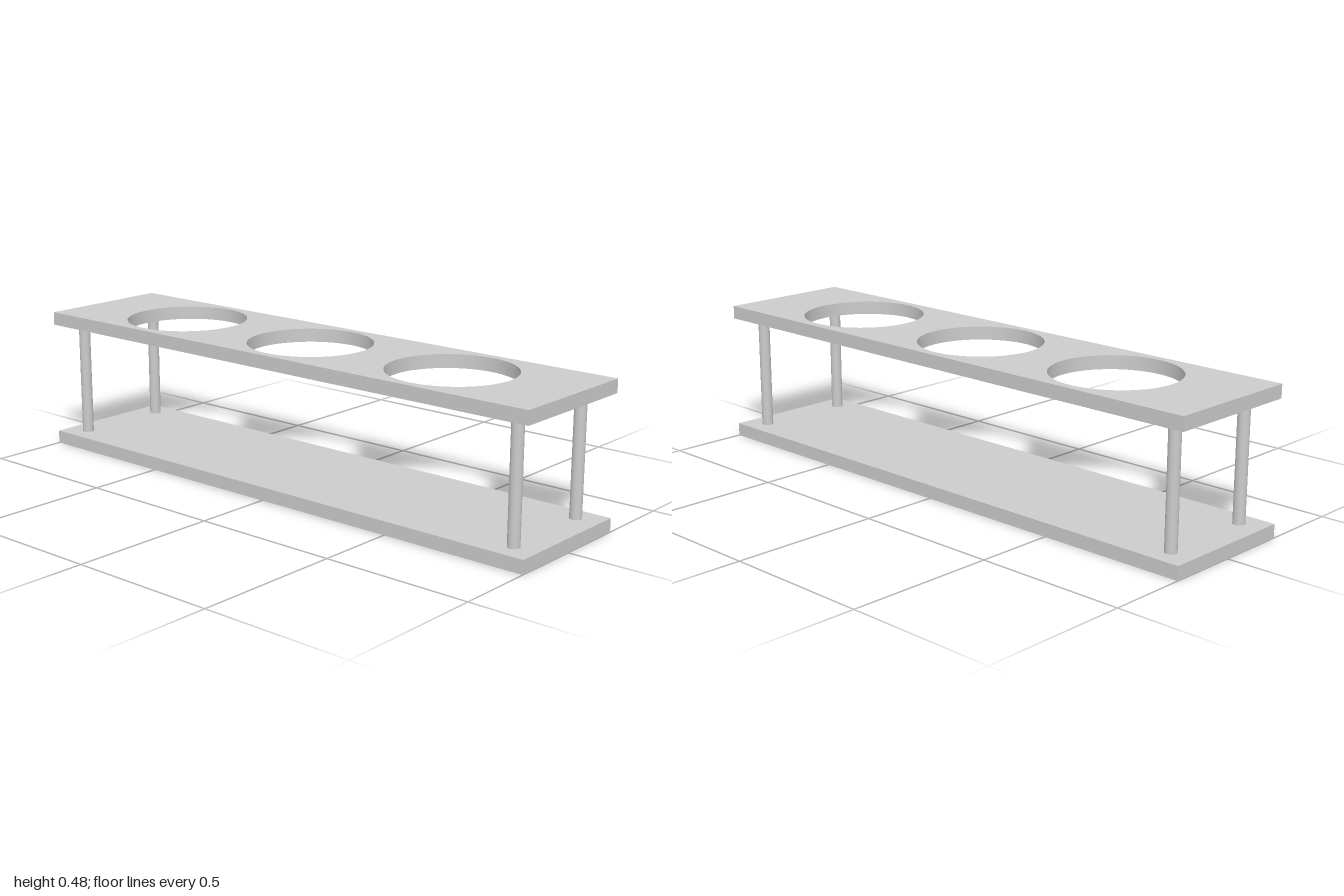
import * as THREE from 'three';
import { toCreasedNormals } from 'three/addons/utils/BufferGeometryUtils.js';

const LENGTH = 2, DEPTH = 0.473, THICK = 0.045, HEIGHT = 0.481;
const HOLE_RADIUS = 0.207, HOLE_SPACING = 0.567;
const POST_RADIUS = 0.0195, POST_X = 0.92, POST_Z = 0.166;

export function createModel() {
  const group = new THREE.Group();
  const material = new THREE.MeshStandardMaterial({ color: 0xcccccc });
  const add = (name, geometry, x, y, z) => {
    const mesh = new THREE.Mesh(geometry, material);
    mesh.name = name;
    mesh.position.set(x, y, z);
    group.add(mesh);
  };

  // Solid base plate
  add('basePlate', new THREE.BoxGeometry(LENGTH, THICK, DEPTH), 0, THICK / 2, 0);

  // Top plate with three round holes
  const outline = new THREE.Shape([
    new THREE.Vector2(-LENGTH / 2, -DEPTH / 2),
    new THREE.Vector2(LENGTH / 2, -DEPTH / 2),
    new THREE.Vector2(LENGTH / 2, DEPTH / 2),
    new THREE.Vector2(-LENGTH / 2, DEPTH / 2),
  ]);
  for (const i of [-1, 0, 1]) {
    outline.holes.push(new THREE.Path().absarc(i * HOLE_SPACING, 0, HOLE_RADIUS, 0, Math.PI * 2, true));
  }
  const plate = new THREE.ExtrudeGeometry(outline, { depth: THICK, bevelEnabled: false, curveSegments: 64 });
  plate.rotateX(-Math.PI / 2);
  add('topPlate', toCreasedNormals(plate, Math.PI / 6), 0, HEIGHT - THICK, 0);

  // Four round corner posts between the plates
  const postHeight = HEIGHT - 2 * THICK;
  const post = new THREE.CylinderGeometry(POST_RADIUS, POST_RADIUS, postHeight, 32);
  for (const [sx, side] of [[1, 'Left'], [-1, 'Right']]) {
    for (const [sz, end] of [[1, 'front'], [-1, 'back']]) {
      add(`${end}${side}Post`, post, sx * POST_X, HEIGHT / 2, sz * POST_Z);
    }
  }
  return group;
}
